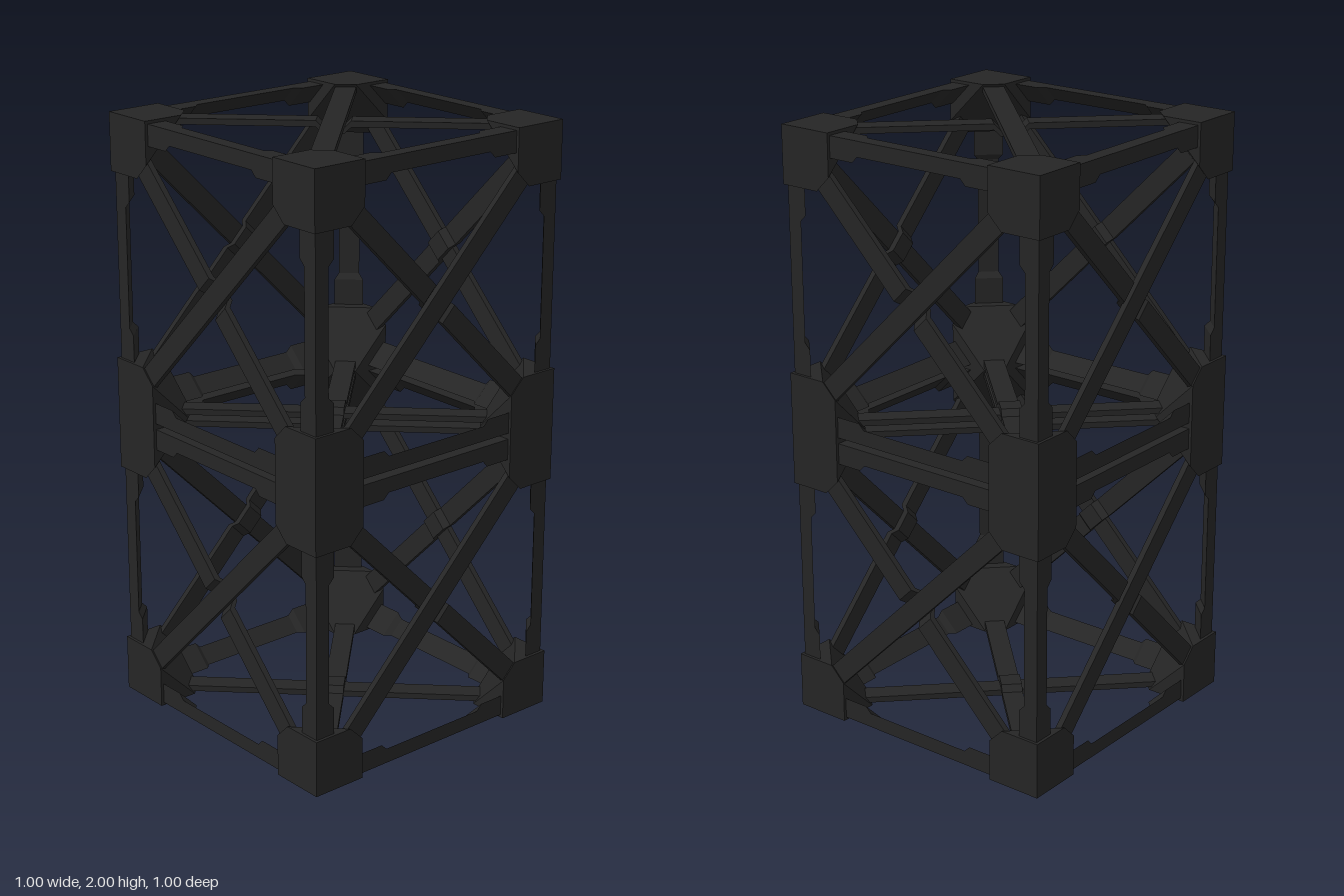
import * as THREE from 'three';
import { ConvexGeometry } from 'three/addons/geometries/ConvexGeometry.js';

const OUT = 0.49; // outer face of beams and braces, measured from the cell centre
const HALF = Math.PI / 2;
const mat = new THREE.MeshStandardMaterial({ color: 0x252525, flatShading: true });

// Corner block: three outer faces with clipped corners, closed by a slanted inner face
function blockGeometry() {
  const a = 0.19, c = 0.14;
  const pts = [[0, 0, 0]];
  for (let k = 0; k < 3; k++) {
    for (const [p, q] of [[0, 0], [c, 0], [0, c]]) {
      const v = [];
      v[k] = a; v[(k + 1) % 3] = p; v[(k + 2) % 3] = q;
      pts.push(v);
    }
  }
  return new ConvexGeometry(pts.map(([x, y, z]) => new THREE.Vector3(0.5 - x, 0.5 - y, 0.5 - z)));
}

// Edge beam along x: triangular bar with thicker ends that taper to the middle
function beamGeometry() {
  const stations = [[-0.33, 0.42], [-0.22, 0.42], [-0.2, 0.44], [0.2, 0.44], [0.22, 0.42], [0.33, 0.42]];
  const corners = ([x, inner]) => [[x, OUT, OUT], [x, inner, OUT], [x, OUT, inner]];
  const pos = [];
  for (let i = 0; i < stations.length - 1; i++) {
    const p = corners(stations[i]), q = corners(stations[i + 1]);
    for (let k = 0; k < 3; k++) {
      const n = (k + 1) % 3;
      pos.push(...p[k], ...p[n], ...q[n], ...p[k], ...q[n], ...q[k]);
    }
  }
  const [a, b, c] = corners(stations[0]);
  const [d, e, f] = corners(stations[stations.length - 1]);
  pos.push(...a, ...c, ...b, ...d, ...e, ...f);
  const g = new THREE.BufferGeometry();
  g.setAttribute('position', new THREE.Float32BufferAttribute(pos, 3));
  g.computeVertexNormals();
  return g;
}

// Flat diagonal brace on the +z face; the under brace dips where the other crosses it
function braceGeometry(angle, dips) {
  const w = 0.07, t = 0.02, L = 0.51;
  const dip = dips ? [[-0.055, OUT], [-0.035, OUT - t], [0.035, OUT - t], [0.055, OUT]] : [];
  const top = [[-L, OUT], ...dip, [L, OUT]];
  const bottom = top.map(([x, y]) => [x, y - t]).reverse();
  const shape = new THREE.Shape([...top, ...bottom].map(([x, y]) => new THREE.Vector2(x, y)));
  const g = new THREE.ExtrudeGeometry(shape, { depth: w, bevelEnabled: false });
  return g.translate(0, 0, -w / 2).rotateX(HALF).rotateZ(angle);
}

const block = blockGeometry();
const beam = beamGeometry();
const overBrace = braceGeometry(Math.PI / 4, false);
const underBrace = braceGeometry(-Math.PI / 4, true);

function add(parent, geometry, name, rotation = [0, 0, 0]) {
  const mesh = new THREE.Mesh(geometry, mat);
  mesh.name = name;
  mesh.rotation.set(...rotation);
  parent.add(mesh);
}

// One cubic truss cell centred on its own origin
function createCell() {
  const cell = new THREE.Group();

  // Eight corner blocks
  for (const flip of [0, Math.PI]) {
    for (let k = 0; k < 4; k++) add(cell, block, 'cornerBlock', [flip, k * HALF, 0]);
  }

  // Four beams along each axis
  const axes = { widthBeams: [0, 0, 0], uprightBeams: [0, 0, HALF], depthBeams: [0, HALF, 0] };
  for (const [name, rot] of Object.entries(axes)) {
    const set = new THREE.Group();
    set.name = name;
    set.rotation.set(...rot);
    for (let k = 0; k < 4; k++) add(set, beam, 'edgeBeam', [k * HALF, 0, 0]);
    cell.add(set);
  }

  // Crossed braces on all six faces
  const faces = [0, 1, 2, 3].map((k) => [0, k * HALF, 0]);
  faces.push([-HALF, 0, HALF], [HALF, 0, HALF]);
  for (const rot of faces) {
    const cross = new THREE.Group();
    cross.name = 'crossBrace';
    cross.rotation.set(...rot);
    add(cross, overBrace, 'overBrace');
    add(cross, underBrace, 'underBrace');
    cell.add(cross);
  }
  return cell;
}

export function createModel() {
  const model = new THREE.Group();
  model.name = 'trussTower';
  // Two identical cells stacked
  ['lowerCell', 'upperCell'].forEach((name, i) => {
    const cell = createCell();
    cell.name = name;
    cell.position.y = 0.5 + i;
    model.add(cell);
  });
  return model;
}
